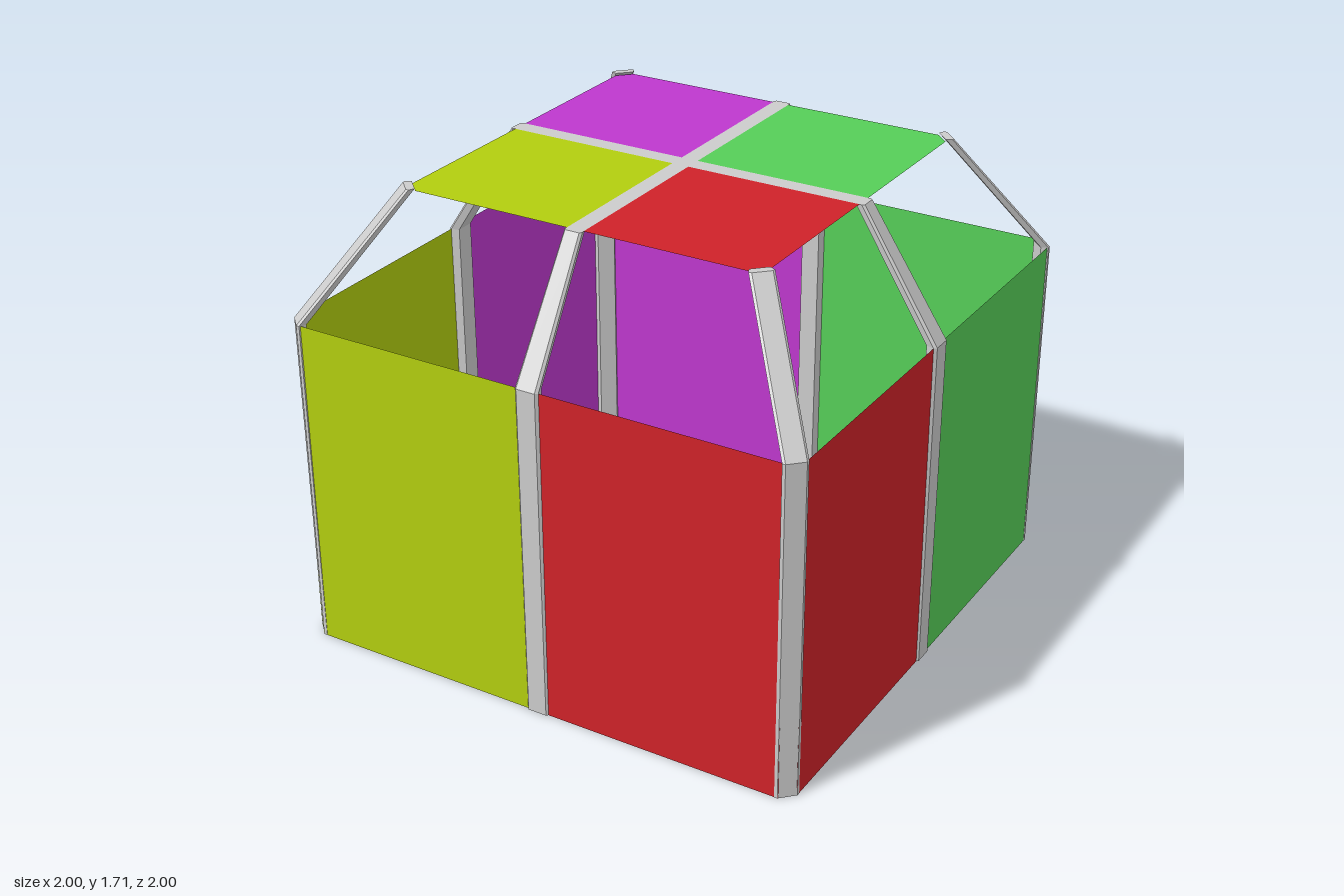
import * as THREE from 'three';

const GREY = 0xcccccc;
const WALL = 0.99, WALL_H = 1.25, ROOF = 0.69, ROOF_H = 1.7;

function material(color) {
  return new THREE.MeshStandardMaterial({ color, side: THREE.DoubleSide, flatShading: true });
}

function add(parent, name, geometry, mat) {
  const mesh = new THREE.Mesh(geometry, mat);
  mesh.name = name;
  parent.add(mesh);
  return mesh;
}

// Bevelled post running along +z: each section is { y, outer, depth, half }
function postGeometry(sections) {
  const pos = [], idx = [];
  const ring = [[-0.8, 0], [0.8, 0], [1, 0.25], [0.8, 1], [-0.8, 1], [-1, 0.25]];
  const n = ring.length;
  for (const s of sections)
    for (const [w, d] of ring) pos.push(w * s.half, s.y, s.outer - d * s.depth);
  for (let k = 0; k < sections.length - 1; k++)
    for (let i = 0; i < n; i++) {
      const a = k * n + i, b = k * n + (i + 1) % n;
      idx.push(a, b, b + n, a, b + n, a + n);
    }
  const top = (sections.length - 1) * n;
  for (let i = 1; i < n - 1; i++) {
    idx.push(0, i + 1, i);
    idx.push(top, top + i, top + i + 1);
  }
  const g = new THREE.BufferGeometry();
  g.setAttribute('position', new THREE.Float32BufferAttribute(pos, 3));
  g.setIndex(idx);
  const flat = g.toNonIndexed();
  flat.computeVertexNormals();
  return flat;
}

// Horizontal quarter sheet with its outer corner cut off
function quarterSheet(size, sx, sz) {
  const gap = 0.032, cut = 0.05;
  const pts = [[gap, gap], [size, gap], [size, size - cut], [size - cut, size], [gap, size]];
  const shape = new THREE.Shape(pts.map(([x, z]) => new THREE.Vector2(x * sx, -z * sz)));
  return new THREE.ShapeGeometry(shape).rotateX(-Math.PI / 2);
}

// Grey cross strips between the quarter sheets
function addCross(parent, name, size, y, mat) {
  const group = new THREE.Group();
  group.name = name;
  group.position.y = y;
  const w = 0.064, arm = size - w / 2;
  add(group, 'longStrip', new THREE.PlaneGeometry(w, size * 2).rotateX(-Math.PI / 2), mat);
  for (const s of [-1, 1]) {
    const strip = add(group, 'sideStrip', new THREE.PlaneGeometry(arm, w).rotateX(-Math.PI / 2), mat);
    strip.position.x = s * (w / 2 + arm / 2);
  }
  parent.add(group);
}

export function createModel() {
  const model = new THREE.Group();
  model.name = 'colourBlockPavilion';
  const grey = material(GREY);

  // Four coloured quarters: floor, roof and two walls each
  const quarters = [
    { name: 'red', color: 0xcf2229, sx: 1, sz: 1 },
    { name: 'olive', color: 0xb2ce0f, sx: -1, sz: 1 },
    { name: 'green', color: 0x56ce58, sx: 1, sz: -1 },
    { name: 'purple', color: 0xbe38ce, sx: -1, sz: -1 },
  ];
  const inner = 0.04, outer = 0.945;
  const width = outer - inner, mid = (outer + inner) / 2;
  for (const { name, color, sx, sz } of quarters) {
    const quarter = new THREE.Group();
    quarter.name = name + 'Quarter';
    const mat = material(color);
    add(quarter, 'floor', quarterSheet(WALL, sx, sz), mat);
    add(quarter, 'roof', quarterSheet(ROOF, sx, sz), mat).position.y = ROOF_H;
    const wallZ = add(quarter, 'endWall', new THREE.PlaneGeometry(width, WALL_H), mat);
    wallZ.position.set(sx * mid, WALL_H / 2, sz * WALL);
    wallZ.rotation.y = sz > 0 ? 0 : Math.PI;
    const wallX = add(quarter, 'sideWall', new THREE.PlaneGeometry(width, WALL_H), mat);
    wallX.position.set(sx * WALL, WALL_H / 2, sz * mid);
    wallX.rotation.y = sx * Math.PI / 2;
    model.add(quarter);
  }

  addCross(model, 'floorCross', WALL, 0, grey);
  addCross(model, 'roofCross', ROOF, ROOF_H, grey);

  // Bent posts: tapered ones mid-wall, even ones on the diagonals
  const midPost = postGeometry([
    { y: 0, outer: 0.997, depth: 0.04, half: 0.045 },
    { y: WALL_H, outer: 1, depth: 0.04, half: 0.045 },
    { y: ROOF_H, outer: 0.708, depth: 0.036, half: 0.034 },
  ]);
  const cornerPost = postGeometry([
    { y: 0, outer: 1.367, depth: 0.035, half: 0.043 },
    { y: WALL_H, outer: 1.372, depth: 0.035, half: 0.043 },
    { y: ROOF_H + 0.008, outer: 0.972, depth: 0.03, half: 0.043 },
  ]);
  for (let i = 0; i < 8; i++) {
    const corner = i % 2 === 1;
    const post = add(model, corner ? 'cornerPost' : 'middlePost', corner ? cornerPost : midPost, grey);
    post.rotation.y = i * Math.PI / 4;
  }
  return model;
}
